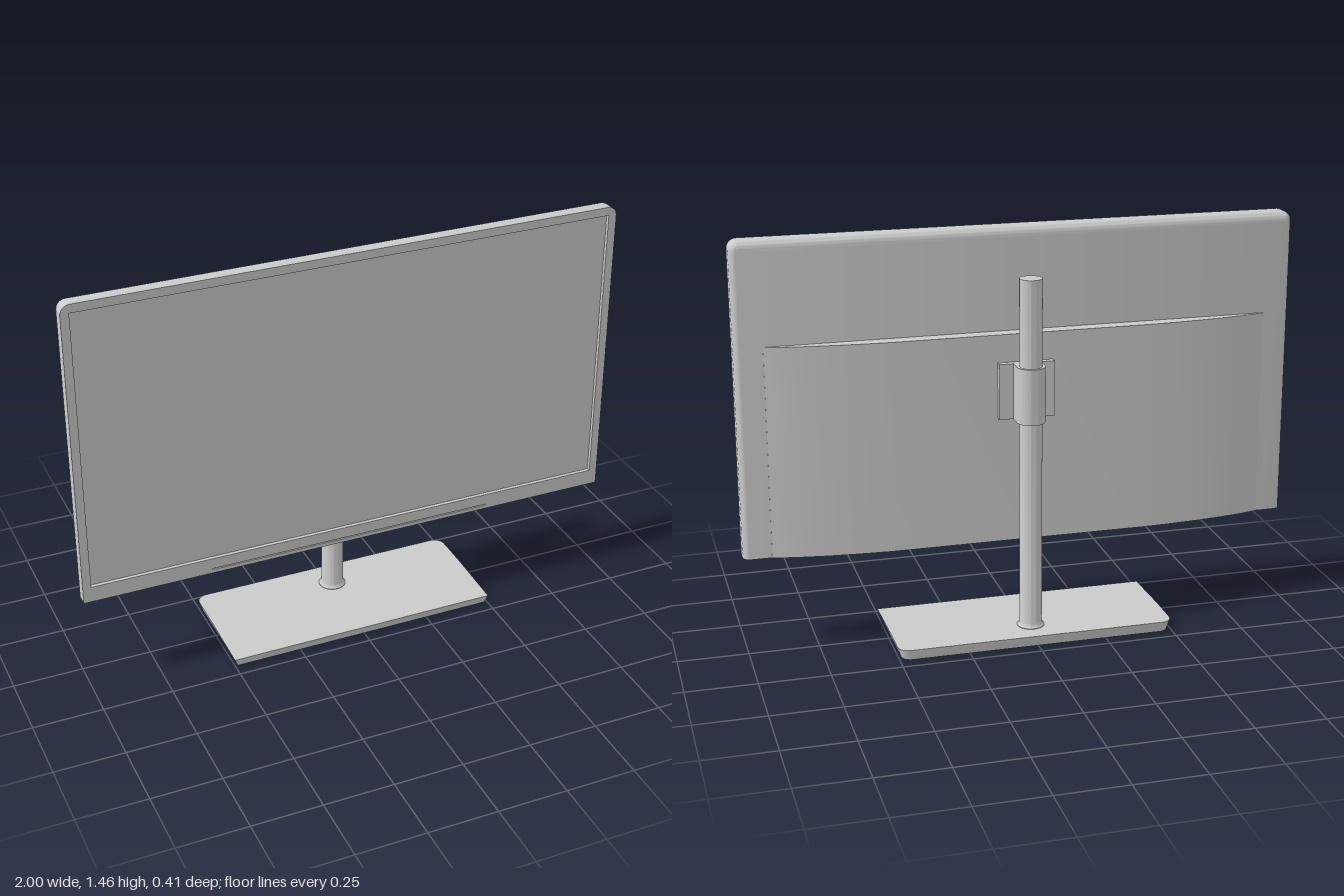
import * as THREE from 'three';
import { toCreasedNormals } from 'three/addons/utils/BufferGeometryUtils.js';

const grey = new THREE.MeshStandardMaterial({ color: 0xcccccc });

function part(name, geometry) {
  const mesh = new THREE.Mesh(toCreasedNormals(geometry, 0.6), grey);
  mesh.name = name;
  return mesh;
}

// Half outline on +x (points [x, v], v rising, rounded upper corner), mirrored to a full ring
function mirroredRing(halfWidth, bottom, top, radius, extra = []) {
  const half = [[halfWidth, bottom], ...extra.map((v) => [halfWidth, v])];
  for (let i = 0; i <= 8; i++) {
    const a = (i / 8) * Math.PI / 2;
    half.push([halfWidth - radius + radius * Math.cos(a), top - radius + radius * Math.sin(a)]);
  }
  return [...half, ...half.slice().reverse().map(([x, v]) => [-x, v])];
}

// Skins a stack of mirrored rings and closes both ends with left-right strips
function loft(rings) {
  const n = rings[0].length, last = (rings.length - 1) * n, index = [];
  for (let r = 0; r < rings.length - 1; r++) {
    for (let i = 0; i < n; i++) {
      const a = r * n + i, b = r * n + ((i + 1) % n);
      index.push(a, b, b + n, a, b + n, a + n);
    }
  }
  for (let i = 0; i < n / 2 - 1; i++) {
    const p = i, q = i + 1, s = n - 2 - i, t = n - 1 - i;
    index.push(p, s, q, p, t, s);
    index.push(last + p, last + q, last + s, last + p, last + s, last + t);
  }
  const g = new THREE.BufferGeometry();
  g.setAttribute('position', new THREE.Float32BufferAttribute(rings.flat(2), 3));
  g.setIndex(index);
  return g;
}

// Extrudes a plan shape (x, -z) upwards between two heights
function upright(shape, y0, y1) {
  const g = new THREE.ExtrudeGeometry(shape, { depth: y1 - y0, bevelEnabled: false, curveSegments: 16 });
  return g.rotateX(-Math.PI / 2).translate(0, y0, 0);
}

function rectHole(halfWidth, y0, y1) {
  return new THREE.Path([[-halfWidth, y0], [-halfWidth, y1], [halfWidth, y1], [halfWidth, y0]]
    .map(([x, y]) => new THREE.Vector2(x, y)));
}

export function createModel() {
  const model = new THREE.Group();
  const bottom = 0.341, top = 1.464, bezelBack = 0.081, bezelFront = 0.095;

  // Housing: rear edge rounded at the sides and top, sharp at the bottom
  const rings = [];
  for (let i = 0; i <= 8; i++) {
    const a = (i / 8) * Math.PI / 2, inset = 0.027 * (1 - Math.sin(a));
    const z = 0.027 + 0.027 * (1 - Math.cos(a));
    rings.push(mirroredRing(1 - inset, bottom, top - inset, 0.035 - inset).map(([x, y]) => [x, y, z]));
  }
  rings.push(mirroredRing(1, bottom, top, 0.035).map(([x, y]) => [x, y, bezelBack]));
  model.add(part('housing', loft(rings)));

  // Front bezel with the screen opening and a thin slot below it
  const frame = new THREE.Shape(mirroredRing(1, bottom, top, 0.035).map(([x, y]) => new THREE.Vector2(x, y)));
  frame.holes.push(rectHole(0.97, 0.4, 1.433), rectHole(0.535, 0.355, 0.359));
  const bezel = new THREE.ExtrudeGeometry(frame, { depth: bezelFront - bezelBack, bevelEnabled: false });
  model.add(part('bezel', bezel.translate(0, 0, bezelBack)));

  // Curved rear cover
  const cover = new THREE.Shape();
  cover.moveTo(-0.9, -0.035);
  cover.lineTo(0.9, -0.035);
  cover.lineTo(0.9, -0.025);
  cover.quadraticCurveTo(0.75, 0.014, 0.47, 0.025);
  cover.lineTo(-0.47, 0.025);
  cover.quadraticCurveTo(-0.75, 0.014, -0.9, -0.025);
  model.add(part('rearCover', upright(cover, bottom, 1.1)));

  // Clamp: flange on the cover and a round-backed sleeve about the pole
  const poleZ = -0.095;
  const clamp = new THREE.Shape();
  clamp.moveTo(-0.1, 0.02);
  clamp.lineTo(0.1, 0.02);
  clamp.lineTo(0.1, 0.047);
  clamp.lineTo(0.05, 0.047);
  clamp.lineTo(0.05, -poleZ);
  clamp.absarc(0, -poleZ, 0.05, 0, Math.PI, false);
  clamp.lineTo(-0.05, 0.047);
  clamp.lineTo(-0.1, 0.047);
  model.add(part('clamp', upright(clamp, 0.8, 1.0)));

  // Pole with a small flare at its foot
  const profile = [[0.05, 0.03], [0.049, 0.04], [0.043, 0.045], [0.04, 0.055], [0.04, 1.31], [0, 1.31]]
    .map(([r, y]) => new THREE.Vector2(r, y));
  model.add(part('pole', new THREE.LatheGeometry(profile, 40).translate(0, 0, poleZ)));

  // Base plate: undercut sides, rounded rear corners, top sloping down to the front
  const baseTop = (z) => 0.038 - 0.009 * Math.max(0, (z + 0.04) / 0.245);
  const lower = mirroredRing(0.49, -0.2, 0.2, 0.035, [0.04]).map(([x, v]) => [x, 0, -v]);
  const upper = mirroredRing(0.502, -0.205, 0.206, 0.04, [0.04]).map(([x, v]) => [x, baseTop(-v), -v]);
  model.add(part('base', loft([lower, upper])));

  return model;
}
